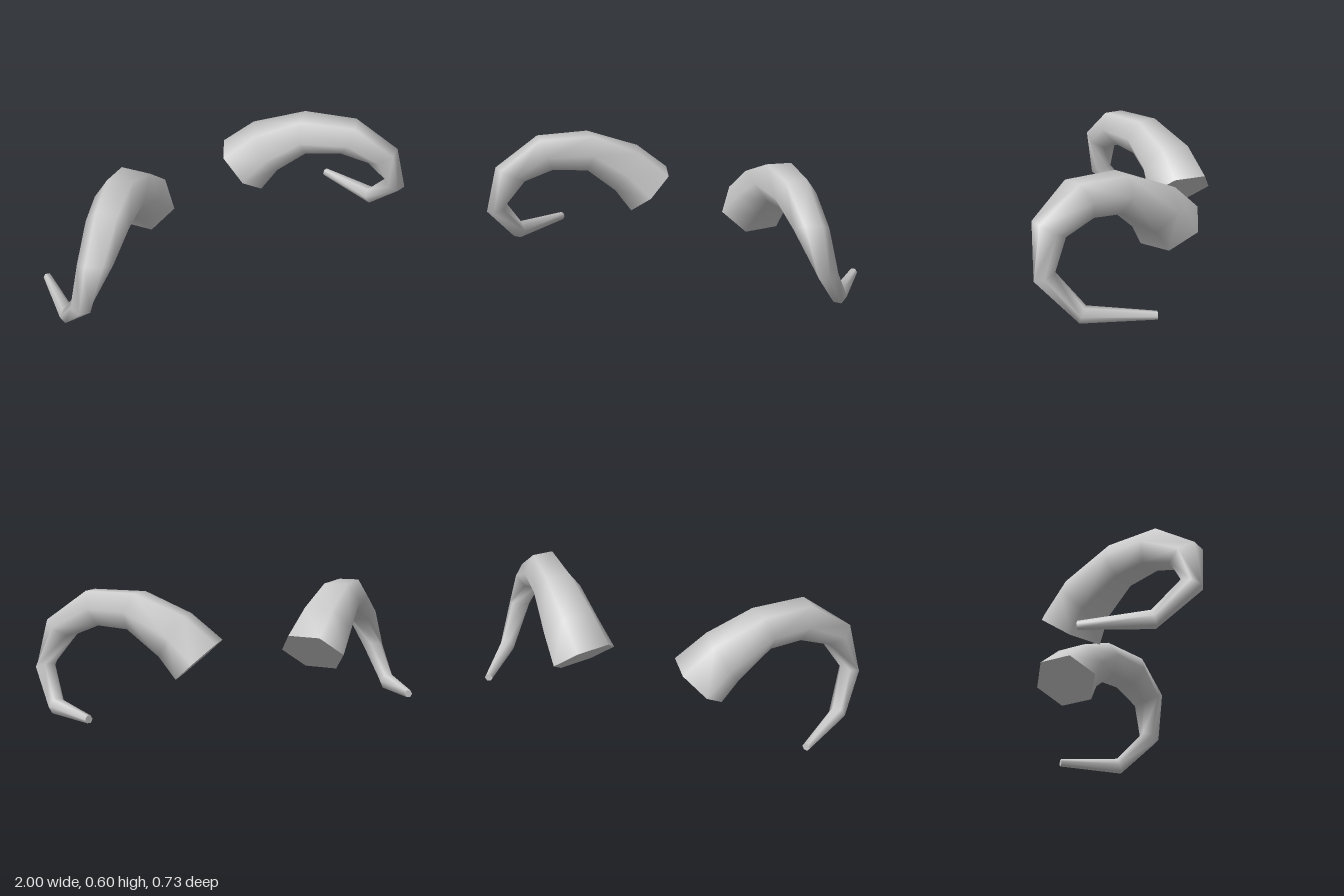
import * as THREE from 'three';

const SIDES = 6;

// Hexagonal cross-sections from base to tip: centre, vector to a corner, vector to a flat's middle
const SECTIONS = [
  [[0.31, 0.28, -0.217], [0.1, 0, -0.15], [0.08, -0.09, 0.062]],
  [[0.41, 0.4, -0.15], [0.09, 0, -0.13], [0.052, -0.1, 0.038]],
  [[0.558, 0.513, 0], [0.095, 0, -0.08], [0.012, -0.09, 0.015]],
  [[0.717, 0.52, 0.162], [0.073, 0, -0.08], [-0.017, -0.084, -0.03]],
  [[0.857, 0.413, 0.283], [0.07, 0, -0.048], [-0.035, -0.036, -0.055]],
  [[0.945, 0.217, 0.293], [0.054, 0, -0.012], [-0.01, 0.016, -0.046]],
  [[0.94, 0.038, 0.118], [0.042, 0, 0], [0, 0.037, -0.012]],
  [[0.878, 0.026, -0.217], [0.02, 0, -0.005], [0, 0.018, 0]],
];

// Corners of one cross-section; side is 1 for left, -1 for right
function ring([c, u, v], side) {
  const points = [];
  for (let j = 0; j < SIDES; j++) {
    const a = (j / SIDES) * Math.PI * 2;
    const k = Math.sin(a) / Math.cos(Math.PI / SIDES);
    const p = c.map((value, i) => value + u[i] * Math.cos(a) + v[i] * k);
    points.push([p[0] * side, p[1], p[2]]);
  }
  return points;
}

function buildGeometry(points, triangles, side) {
  const geometry = new THREE.BufferGeometry();
  geometry.setAttribute('position', new THREE.Float32BufferAttribute(points.flat(), 3));
  geometry.setIndex(triangles.flatMap(([a, b, c]) => (side > 0 ? [a, b, c] : [a, c, b])));
  geometry.computeVertexNormals();
  return geometry;
}

// Smooth wall joining all cross-sections
function wallGeometry(side) {
  const points = SECTIONS.flatMap((s) => ring(s, side));
  const triangles = [];
  for (let i = 0; i < SECTIONS.length - 1; i++) {
    for (let j = 0; j < SIDES; j++) {
      const a = i * SIDES + j;
      const b = i * SIDES + ((j + 1) % SIDES);
      triangles.push([a, a + SIDES, b], [b, a + SIDES, b + SIDES]);
    }
  }
  return buildGeometry(points, triangles, side);
}

// Flat end of the horn
function capGeometry(section, side, isTip) {
  const triangles = [];
  for (let j = 1; j < SIDES - 1; j++) {
    triangles.push(isTip ? [0, j + 1, j] : [0, j, j + 1]);
  }
  return buildGeometry(ring(section, side), triangles, side);
}

export function createModel() {
  const model = new THREE.Group();
  model.name = 'pairOfHorns';
  const hornGrey = new THREE.MeshStandardMaterial({ color: 0xcccccc });
  hornGrey.name = 'hornGrey';

  for (const side of [1, -1]) {
    const horn = new THREE.Group();
    horn.name = side > 0 ? 'leftHorn' : 'rightHorn';
    const parts = {
      hornWall: wallGeometry(side),
      hornBase: capGeometry(SECTIONS[0], side, false),
      hornTip: capGeometry(SECTIONS[SECTIONS.length - 1], side, true),
    };
    for (const [name, geometry] of Object.entries(parts)) {
      const mesh = new THREE.Mesh(geometry, hornGrey);
      mesh.name = name;
      horn.add(mesh);
    }
    model.add(horn);
  }
  return model;
}
